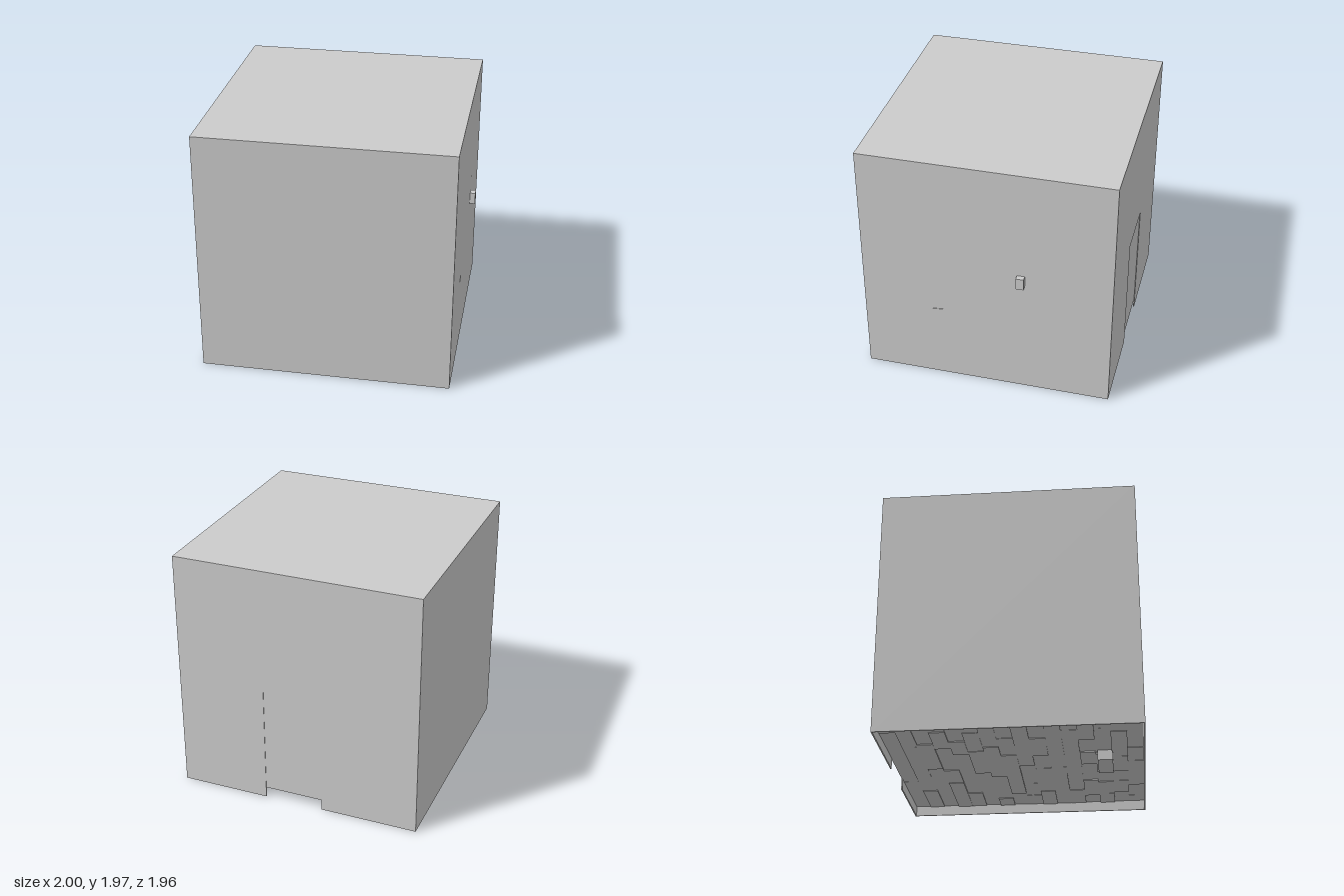
import * as THREE from 'three';

const X0 = -1, X1 = 0.957, Z0 = -0.98, Z1 = 0.98, H = 1.965, T = 0.01;

const grey = new THREE.MeshStandardMaterial({ color: 0xcccccc, flatShading: true });

// Box given by its min and max corners
function block(name, x0, x1, y0, y1, z0, z1) {
  const mesh = new THREE.Mesh(new THREE.BoxGeometry(x1 - x0, y1 - y0, z1 - z0), grey);
  mesh.position.set((x0 + x1) / 2, (y0 + y1) / 2, (z0 + z1) / 2);
  mesh.name = name;
  return mesh;
}

// Small repeatable random source
function seeded(seed) {
  return () => (seed = (seed * 16807) % 2147483647) / 2147483647;
}

// Back wall with a notch for the doorway
function backWall(doorX0, doorX1, doorH) {
  const outline = [
    [X0, 0], [doorX0, 0], [doorX0, doorH], [doorX1, doorH],
    [doorX1, 0], [X1, 0], [X1, H], [X0, H],
  ].map(([x, y]) => new THREE.Vector2(x, y));
  const geo = new THREE.ExtrudeGeometry(new THREE.Shape(outline), { depth: T, bevelEnabled: false });
  const mesh = new THREE.Mesh(geo, grey);
  mesh.position.z = Z0;
  mesh.name = 'backWall';
  return mesh;
}

// Floorboards running along x, each with its own length and underside height
function floorboards() {
  const group = new THREE.Group();
  group.name = 'floorboards';
  const rand = seeded(41);
  const rows = 16, z0 = Z0 + T, width = (Z1 - Z0 - 2 * T) / rows;
  for (let r = 0; r < rows; r++) {
    let x = X0 + T;
    while (x < X1 - T) {
      let end = x + 0.22 + rand() * 0.35;
      if (end > X1 - T - 0.12) end = X1 - T;
      const bottom = 0.073 + rand() * 0.012;
      group.add(block('floorboard', x, end, bottom, 0.1, z0 + r * width, z0 + (r + 1) * width));
      x = end;
    }
  }
  return group;
}

export function createModel() {
  const room = new THREE.Group();
  room.name = 'room';

  // Shell
  room.add(
    block('leftWall', X1 - T, X1, 0, H, Z0 + T, Z1 - T),
    block('rightWall', X0, X0 + T, 0, H, Z0 + T, Z1 - T),
    block('frontWall', X0, X1, 0, H, Z1 - T, Z1),
    block('ceiling', X0 + T, X1 - T, H - T, H, Z0 + T, Z1 - T),
    backWall(-0.226, 0.248, 0.98),
  );

  // Door panel, set just behind the wall face and clear of the ground
  room.add(block('door', -0.226, 0.248, 0.085, 0.98, Z0 + 0.004, Z0 + 0.02));

  room.add(floorboards());

  // Base that passes down through the floor
  room.add(block('floorBase', -0.27, 0.026, 0.005, 0.12, 0.62, 0.735));

  // Wall fitting standing out of the side, and small pieces poking through
  room.add(block('wallFitting', X1 - 0.03, 1, 0.985, 1.08, -0.306, -0.245));
  room.add(block('wallPin', X1 - 0.02, X1 + 0.003, 1.218, 1.224, -0.278, -0.272));
  const sliver = block('wallSliver', X1 - 0.02, X1 + 0.004, 0.634, 0.64, 0.345, 0.43);
  sliver.rotation.x = 0.1;
  room.add(sliver);

  return room;
}
